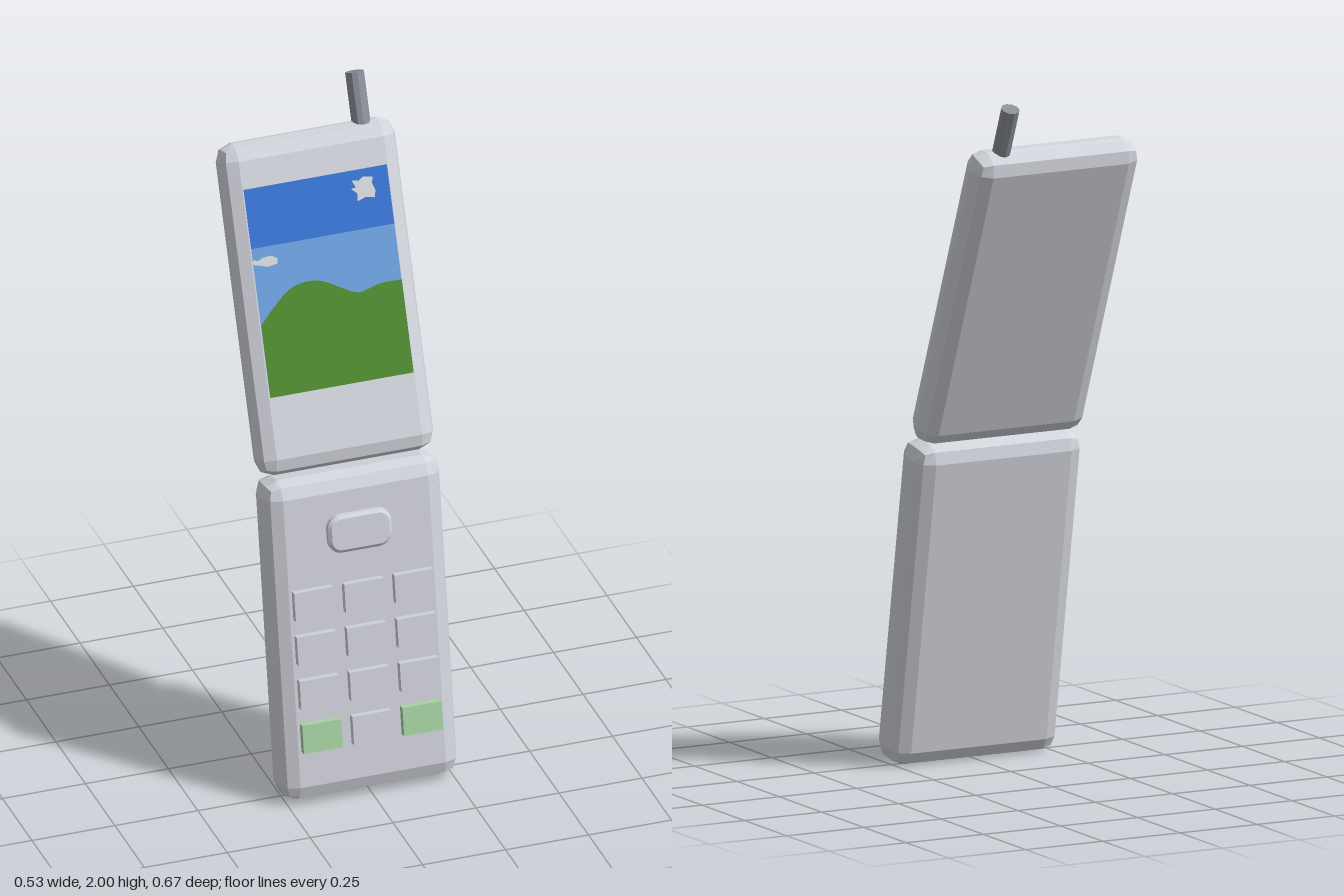
import * as THREE from 'three';
import { RoundedBoxGeometry } from 'three/addons/geometries/RoundedBoxGeometry.js';

const mat = (name, color, opts = {}) => {
  const m = new THREE.MeshStandardMaterial({ color, ...opts });
  m.name = name;
  return m;
};

function add(parent, name, geometry, material, x = 0, y = 0, z = 0) {
  const mesh = new THREE.Mesh(geometry, material);
  mesh.name = name;
  mesh.position.set(x, y, z);
  parent.add(mesh);
  return mesh;
}

// Rounded rectangle outline centred on the origin
function roundedRect(w, h, r) {
  const s = new THREE.Shape();
  const a = w / 2 - r, b = h / 2 - r;
  s.absarc(a, b, r, 0, Math.PI / 2);
  s.absarc(-a, b, r, Math.PI / 2, Math.PI);
  s.absarc(-a, -b, r, Math.PI, Math.PI * 1.5);
  s.absarc(a, -b, r, Math.PI * 1.5, Math.PI * 2);
  return s;
}

const polygon = (pts) => new THREE.Shape(pts.map(([x, y]) => new THREE.Vector2(x, y)));

export function createModel() {
  const body = mat('shellGrey', 0xd4d6de, { flatShading: true });
  const metal = mat('antennaGrey', 0x8c909b, { flatShading: true });
  const greenKey = mat('paleGreen', 0xabd8a6);
  const deepSky = mat('deepSkyBlue', 0x3a75d6);
  const paleSky = mat('paleSkyBlue', 0x6da2df);
  const grass = mat('grassGreen', 0x4f8c31);
  const white = mat('cloudWhite', 0xd8d9da);

  const phone = new THREE.Group();
  phone.name = 'flipPhone';

  // Lower half with keypad, leaning back a little
  const lower = new THREE.Group();
  lower.name = 'lowerHalf';
  lower.position.set(0, 0.4825, 0.186);
  lower.rotation.x = THREE.MathUtils.degToRad(-9.8);
  phone.add(lower);
  const lowerDepth = 0.145, lowerFront = lowerDepth / 2;
  add(lower, 'lowerShell', new RoundedBoxGeometry(0.534, 0.97, lowerDepth, 1, 0.048), body);

  // Keypad: four rows of three, green outer keys in the bottom row
  const keyGeo = new THREE.BoxGeometry(0.118, 0.086, 0.04);
  for (let row = 0; row < 4; row++) {
    for (let col = -1; col <= 1; col++) {
      const green = row === 3 && col !== 0;
      add(lower, green ? 'callKey' : 'numberKey', keyGeo, green ? greenKey : body,
        col * 0.151, 0.119 - row * 0.1345, lowerFront + 0.002);
    }
  }

  // Navigation button with a bevelled rim
  const navGeo = new THREE.ExtrudeGeometry(roundedRect(0.172, 0.094, 0.03), {
    depth: 0.02, curveSegments: 3, bevelEnabled: true,
    bevelSize: 0.01, bevelThickness: 0.008, bevelSegments: 1,
  });
  add(lower, 'navigationButton', navGeo, body, 0, 0.314, lowerFront - 0.006);

  // Upper half with screen and antenna, leaning back further
  const upper = new THREE.Group();
  upper.name = 'upperHalf';
  upper.position.set(0, 1.4125, -0.084);
  upper.rotation.x = THREE.MathUtils.degToRad(-22);
  phone.add(upper);
  const upperDepth = 0.113, front = upperDepth / 2;
  add(upper, 'upperShell', new RoundedBoxGeometry(0.534, 0.963, upperDepth, 1, 0.048), body);

  // Screen picture, as thin layers
  const half = 0.216;
  const skyPanel = (name, y0, y1, material) =>
    add(upper, name, new THREE.PlaneGeometry(half * 2, y1 - y0), material, 0, (y0 + y1) / 2, front + 0.002);
  skyPanel('upperSky', 0.18, 0.352, deepSky);
  skyPanel('lowerSky', -0.252, 0.18, paleSky);

  const hills = new THREE.Shape();
  hills.moveTo(half, -0.252);
  hills.lineTo(half, 0.018);
  hills.splineThru([[0.15, 0.018], [0.085, 0.003], [0.03, 0.028], [-0.02, 0.054], [-0.07, 0.06],
    [-0.12, 0.046], [-0.17, 0.005], [-half, -0.042]].map(([x, y]) => new THREE.Vector2(x, y)));
  hills.lineTo(-half, -0.252);
  add(upper, 'hills', new THREE.ShapeGeometry(hills, 4), grass, 0, 0, front + 0.004);

  const rightCloud = polygon([[0.1, 0.3], [0.115, 0.302], [0.105, 0.325], [0.125, 0.32], [0.14, 0.33],
    [0.168, 0.325], [0.165, 0.305], [0.172, 0.285], [0.168, 0.265], [0.14, 0.27], [0.115, 0.262], [0.118, 0.284]]);
  const leftCloud = polygon([[-half, 0.148], [-0.2, 0.143], [-0.185, 0.15], [-0.16, 0.152], [-0.142, 0.142],
    [-0.145, 0.126], [-0.175, 0.122], [-0.2, 0.13], [-half, 0.134]]);
  add(upper, 'rightCloud', new THREE.ShapeGeometry(rightCloud), white, 0, 0, front + 0.004);
  add(upper, 'leftCloud', new THREE.ShapeGeometry(leftCloud), white, 0, 0, front + 0.004);

  // Stub antenna on the model's left
  add(upper, 'antenna', new THREE.CylinderGeometry(0.027, 0.027, 0.19, 10), metal, 0.172, 0.528, 0.006);

  return phone;
}
